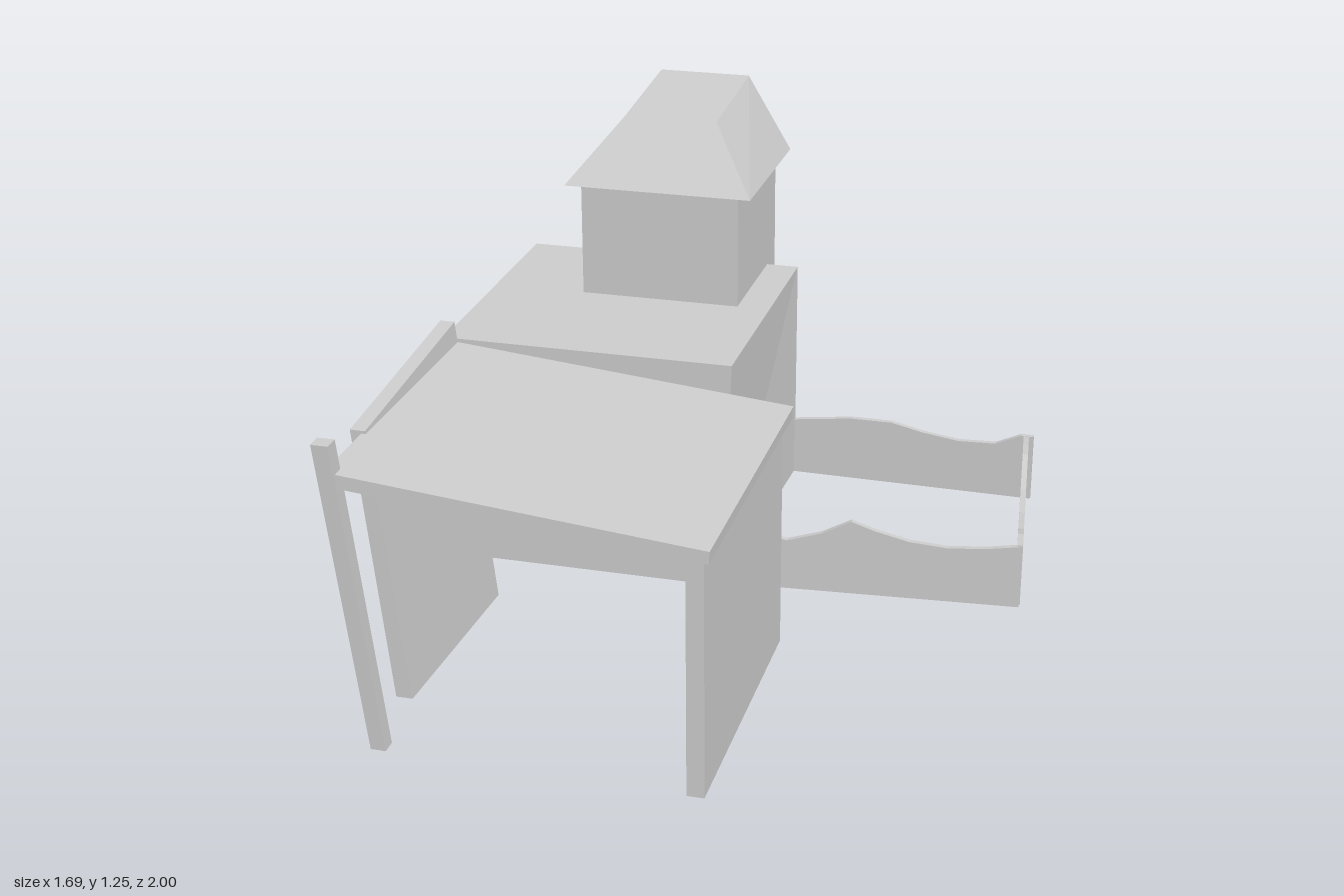
import * as THREE from 'three';

export function createModel() {
  const model = new THREE.Group();
  const material = new THREE.MeshStandardMaterial({ color: 0xcccccc, flatShading: true });

  function add(name, geometry) {
    const mesh = new THREE.Mesh(geometry, material);
    mesh.name = name;
    model.add(mesh);
    return mesh;
  }

  // Six-sided block from skewed corners: each ring is back-left, back-right, front-left, front-right
  function block(name, bottom, top) {
    const g = new THREE.BoxGeometry(1, 1, 1);
    const p = g.attributes.position;
    for (let i = 0; i < p.count; i++) {
      const ring = p.getY(i) > 0 ? top : bottom;
      p.setXYZ(i, ...ring[(p.getX(i) > 0 ? 1 : 0) + (p.getZ(i) > 0 ? 2 : 0)]);
    }
    g.computeVertexNormals();
    return add(name, g);
  }

  // Level rectangle of corners
  const ring = (x0, x1, y, z0, z1) => [[x0, y, z0], [x1, y, z0], [x0, y, z1], [x1, y, z1]];

  // House, its lower right front corner drawn in a little
  const base = ring(-0.79, 0.04, 0.025, -0.88, -0.07);
  base[3][0] = 0.01;
  block('house', base, ring(-0.79, 0.04, 0.7, -0.88, -0.07));

  // Tower and its hipped roof
  block('tower', ring(-0.52, -0.055, 0.045, -0.985, -0.51), ring(-0.52, -0.055, 1.035, -0.975, -0.51));
  block('towerRoof', ring(-0.565, -0.015, 1.03, -1, -0.49),
    [[-0.41, 1.255, -0.977], [-0.14, 1.255, -0.977], [-0.41, 1.22, -0.595], [-0.14, 1.22, -0.595]]);

  // Doors with round knobs
  function door(name, x0, x1, z0, z1, knobX, knobY, knobZ) {
    block(name, ring(x0, x1, 0.035, z0, z1), ring(x0, x1, 0.277, z0, z1));
    add(name + 'Knob', new THREE.SphereGeometry(0.012, 12, 8)).position.set(knobX, knobY, knobZ);
  }
  door('leftDoor', -0.832, -0.78, -0.61, -0.45, -0.835, 0.135, -0.475);
  door('rightDoor', 0.02, 0.053, -0.44, -0.3, 0.057, 0.15, -0.425);

  // Sloping canopy
  block('canopyRoof',
    [[-0.695, 0.737, 0.12], [0.253, 0.652, 0.12], [-0.695, 0.737, 0.983], [0.253, 0.652, 0.983]],
    [[-0.69, 0.773, 0.12], [0.255, 0.685, 0.12], [-0.69, 0.773, 0.983], [0.255, 0.685, 0.983]]);
  block('canopyRightWall', ring(0.19, 0.235, 0.003, 0.155, 0.957), ring(0.19, 0.235, 0.67, 0.155, 0.957));
  // Leaning left wall, its top rising through the canopy toward the back
  block('canopyLeftWall',
    [[-0.635, 0.005, 0.105], [-0.592, 0.005, 0.105], [-0.645, 0.03, 0.74], [-0.6, 0.03, 0.74]],
    [[-0.72, 0.83, 0.122], [-0.68, 0.83, 0.122], [-0.72, 0.78, 0.75], [-0.68, 0.78, 0.75]]);
  block('canopyPost', ring(-0.628, -0.588, 0.005, 0.915, 0.956), ring(-0.712, -0.668, 0.848, 0.953, 0.996));

  // Wavy fence panel from a to b (x, z); profile is [fraction along, top height]
  function fence(name, a, b, profile, y0, y1) {
    const dx = b[0] - a[0], dz = b[1] - a[1], length = Math.hypot(dx, dz);
    const shape = new THREE.Shape();
    shape.moveTo(0, y0);
    shape.lineTo(length, y1);
    for (const [t, y] of [...profile].reverse()) shape.lineTo(t * length, y);
    shape.closePath();
    const g = new THREE.ExtrudeGeometry(shape, { depth: 0.016, bevelEnabled: false });
    g.translate(0, 0, -0.008);
    const mesh = add(name, g);
    mesh.position.set(a[0], 0, a[1]);
    mesh.rotation.y = -Math.atan2(dz, dx);
  }
  fence('frontFence', [0.03, -0.1], [0.84, -0.165],
    [[0, 0.205], [0.1, 0.19], [0.2, 0.175], [0.32, 0.205], [0.42, 0.248], [0.5, 0.225],
      [0.62, 0.2], [0.75, 0.19], [0.88, 0.197], [1, 0.212]], 0.025, 0.025);
  fence('rightFence', [0.836, -0.16], [0.758, -0.868],
    [[0, 0.215], [0.1, 0.215], [0.22, 0.19], [0.4, 0.178], [0.58, 0.19], [0.68, 0.21],
      [0.78, 0.237], [0.88, 0.237], [1, 0.228]], 0.03, 0.058);
  fence('backFence', [0.03, -0.878], [0.78, -0.866],
    [[0, 0.2], [0.12, 0.212], [0.25, 0.225], [0.42, 0.226], [0.55, 0.205], [0.7, 0.19],
      [0.85, 0.195], [0.95, 0.23], [1, 0.23]], 0.025, 0.025);

  return model;
}
